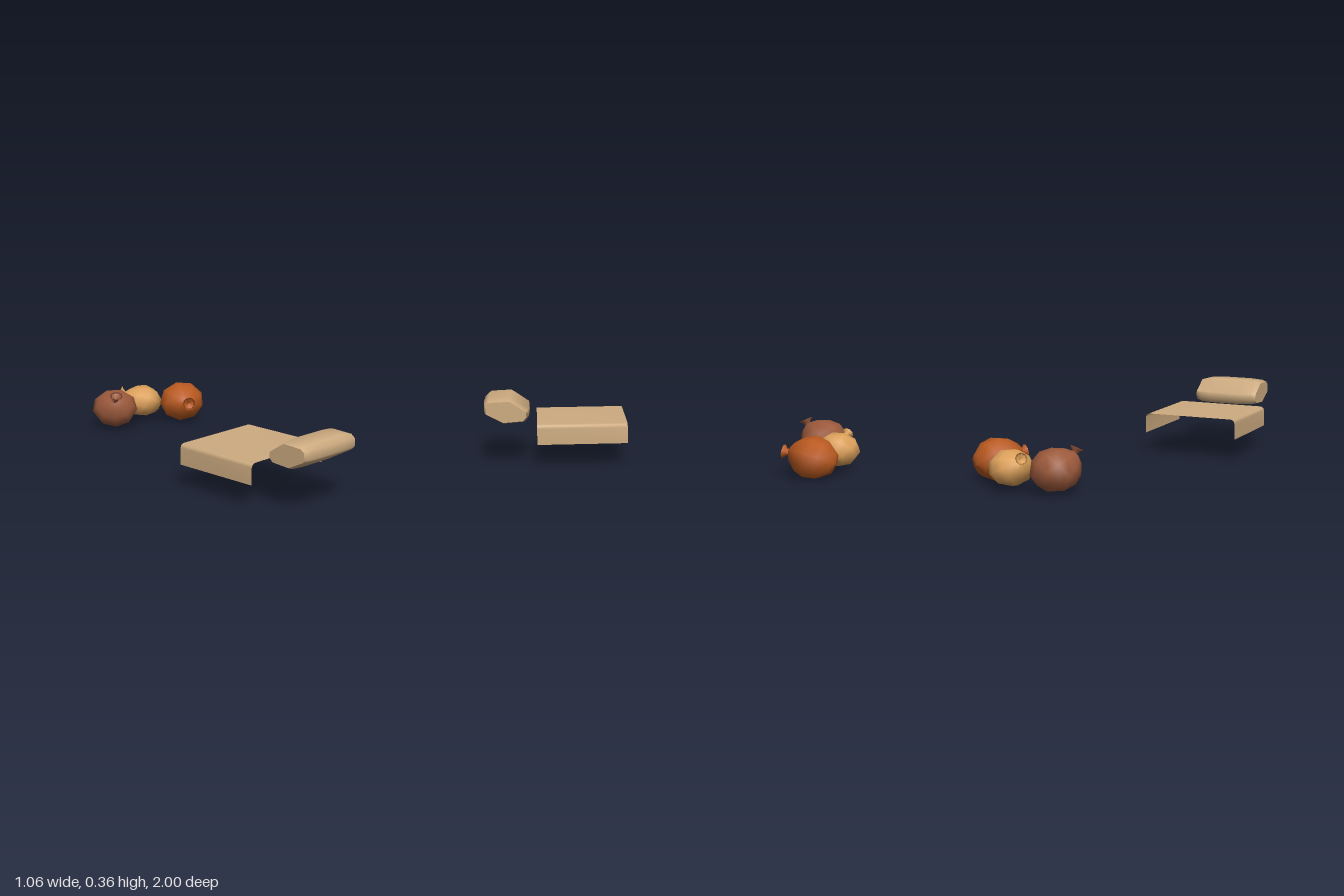
import * as THREE from 'three';
import { toCreasedNormals } from 'three/addons/utils/BufferGeometryUtils.js';

const mat = (name, color) => new THREE.MeshStandardMaterial({ name, color, side: THREE.DoubleSide });

function addMesh(parent, name, geometry, material) {
  const mesh = new THREE.Mesh(geometry, material);
  mesh.name = name;
  parent.add(mesh);
  return mesh;
}

// Open folded sheet: a profile across x, stretched along z
function blanketGeometry() {
  const half = [[-0.53, 0.12], [-0.53, 0.208], [-0.524, 0.223], [-0.51, 0.23]];
  const profile = [...half, ...half.map(([x, y]) => [-0.533 - x, y]).reverse()];
  const g = new THREE.PlaneGeometry(1, 1, profile.length - 1, 1);
  const p = g.attributes.position;
  for (let i = 0; i < p.count; i++) {
    const [x, y] = profile[i % profile.length];
    p.setXYZ(i, x, y, i < profile.length ? 0.225 : 0.715);
  }
  g.computeVertexNormals();
  return g;
}

// Tilted cushion: one (z, y) section lofted along x, shrinking at the ends
function pillowGeometry() {
  const section = [[1, 0.285], [1, 0.33], [0.975, 0.352], [0.857, 0.357], [0.757, 0.285],
    [0.755, 0.25], [0.777, 0.224], [0.894, 0.215], [0.995, 0.272]];
  const stations = [[-0.458, 0.8], [-0.432, 0.93], [-0.36, 1], [-0.18, 1], [-0.12, 0.95], [-0.089, 0.82]];
  const cz = 0.877, cy = 0.285, n = section.length, pos = [], idx = [];
  for (const [x, s] of stations) {
    const yaw = 0.025 * (x + 0.27);
    for (const [z, y] of section) {
      pos.push(x, cy + (y - cy) * s, cz + (z - cz) * (0.45 + 0.55 * s) + yaw);
    }
  }
  const last = stations.length - 1, c0 = stations.length * n;
  pos.push(stations[0][0], cy, cz, stations[last][0], cy, cz);
  for (let j = 0; j < n; j++) {
    const k = (j + 1) % n;
    for (let i = 0; i < last; i++) {
      const a = i * n + j, b = a + n, c = i * n + k, d = c + n;
      idx.push(a, b, c, b, d, c);
    }
    idx.push(c0, j, k, c0 + 1, last * n + k, last * n + j);
  }
  const g = new THREE.BufferGeometry();
  g.setAttribute('position', new THREE.Float32BufferAttribute(pos, 3));
  g.setIndex(idx);
  return toCreasedNormals(g, 0.9);
}

const lathe = (points, sides) =>
  new THREE.LatheGeometry(points.map(([r, y]) => new THREE.Vector2(r, y)), sides);

// Low-sided sack body turned towards its mouth and fitted to a box
function sackBody(axis, min, max) {
  const g = lathe([[0, -0.98], [0.5, -0.88], [0.9, -0.42], [1, 0.08], [0.82, 0.52],
    [0.45, 0.88], [0.15, 1.02]], 9);
  g.applyQuaternion(new THREE.Quaternion().setFromUnitVectors(new THREE.Vector3(0, 1, 0), axis));
  g.computeBoundingBox();
  const size = g.boundingBox.getSize(new THREE.Vector3());
  const mid = g.boundingBox.getCenter(new THREE.Vector3());
  const lo = new THREE.Vector3(...min), hi = new THREE.Vector3(...max);
  const want = hi.clone().sub(lo).divide(size);
  const centre = lo.add(hi).multiplyScalar(0.5);
  g.translate(-mid.x, -mid.y, -mid.z);
  g.scale(want.x, want.y, want.z);
  g.translate(centre.x, centre.y, centre.z);
  return g;
}

function addSack(parent, { name, material, min, max, body, mouth, mouthAxis, radius }) {
  const sack = new THREE.Group();
  sack.name = name;
  parent.add(sack);
  addMesh(sack, 'sackBody', sackBody(new THREE.Vector3(...body).normalize(), min, max), material);
  // Pinched neck flaring out to an open rim
  const neck = addMesh(sack, 'sackMouth', lathe([[0.4, -1.5], [0.28, -0.95], [0.6, -0.35],
    [1, 0], [0.7, -0.12], [0, -0.65]], 9), material);
  neck.scale.setScalar(radius);
  neck.position.set(...mouth);
  neck.quaternion.setFromUnitVectors(new THREE.Vector3(0, 1, 0), new THREE.Vector3(...mouthAxis).normalize());
}

export function createModel() {
  const model = new THREE.Group();
  model.name = 'beddingAndSacks';

  const linen = mat('linen', 0xcdab80);
  addMesh(model, 'blanket', blanketGeometry(), linen);
  addMesh(model, 'pillow', pillowGeometry(), linen);

  // Three tied sacks lying together
  const sacks = [
    { name: 'brownSack', material: mat('brown', 0x9c5a3c), min: [-0.13, 0.01, -0.99], max: [0.122, 0.222, -0.735],
      body: [-0.5, 0.6, 0.55], mouth: [-0.076, 0.217, -0.77], mouthAxis: [-0.25, 0.88, 0.35], radius: 0.038 },
    { name: 'tanSack', material: mat('sand', 0xdca05a), min: [0.118, 0.02, -1], max: [0.345, 0.2, -0.77],
      body: [-0.75, 0.4, -0.4], mouth: [0.128, 0.178, -0.962], mouthAxis: [-0.65, 0.4, -0.65], radius: 0.032 },
    { name: 'orangeSack', material: mat('rust', 0xba5a20), min: [0.267, 0, -0.845], max: [0.527, 0.222, -0.585],
      body: [-0.5, 0.2, 0.8], mouth: [0.322, 0.13, -0.573], mouthAxis: [-0.55, 0.12, 0.82], radius: 0.038 },
  ];
  for (const s of sacks) addSack(model, s);
  return model;
}
